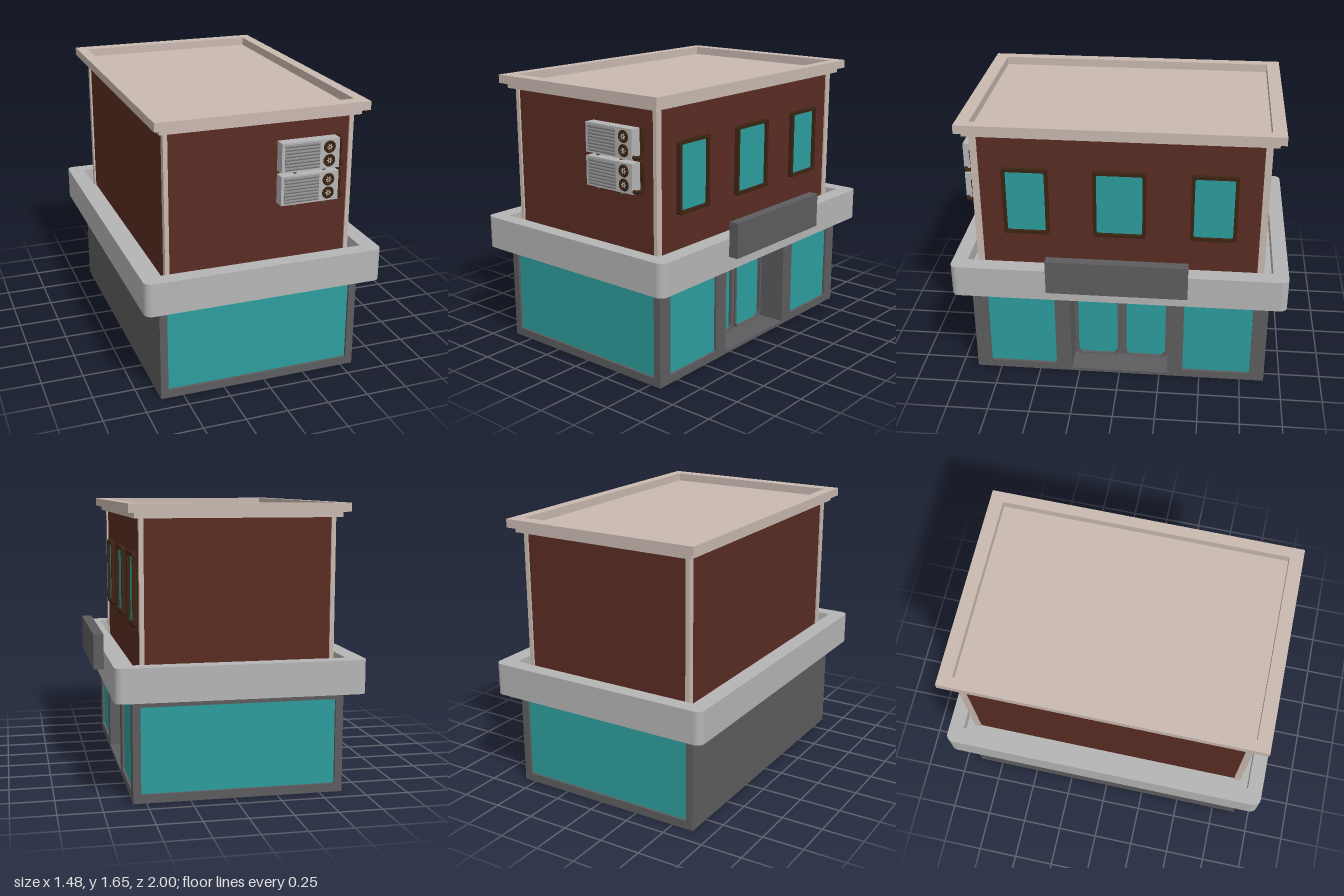
import * as THREE from 'three';

const mat = (name, color, side = THREE.FrontSide) => {
  const m = new THREE.MeshStandardMaterial({ color, side });
  m.name = name;
  return m;
};

// Rectangle outline centred on (cx, cy), optionally with rounded corners
function rect(w, h, r = 0, cx = 0, cy = 0, Type = THREE.Shape) {
  const s = new Type();
  const x = cx - w / 2, y = cy - h / 2;
  if (!r) {
    s.moveTo(x, y); s.lineTo(x + w, y); s.lineTo(x + w, y + h); s.lineTo(x, y + h); s.closePath();
    return s;
  }
  s.moveTo(x + r, y);
  s.lineTo(x + w - r, y); s.absarc(x + w - r, y + r, r, -Math.PI / 2, 0);
  s.lineTo(x + w, y + h - r); s.absarc(x + w - r, y + h - r, r, 0, Math.PI / 2);
  s.lineTo(x + r, y + h); s.absarc(x + r, y + h - r, r, Math.PI / 2, Math.PI);
  s.lineTo(x, y + r); s.absarc(x + r, y + r, r, Math.PI, Math.PI * 1.5);
  return s;
}
const hole = (w, h, r, cx, cy) => rect(w, h, r, cx, cy, THREE.Path);

function slab(shape, holes, depth) {
  shape.holes.push(...holes);
  return new THREE.ExtrudeGeometry(shape, { depth, bevelEnabled: false, curveSegments: 6 });
}

export function createModel() {
  const model = new THREE.Group();
  const house = new THREE.Group();
  house.name = 'building';
  house.position.x = -0.03;
  model.add(house);

  const brick = mat('brick red', 0x5a2c23);
  const stone = mat('pale stone', 0xc9b9b0);
  const concrete = mat('light grey', 0xb5b5b5);
  const frame = mat('dark grey', 0x5d5d5f);
  const glass = mat('teal glass', 0x2d9d9d);
  const wood = mat('dark brown', 0x3c2412);
  const grille = mat('grille grey', 0x8c8c8c);

  const add = (name, geo, material, x = 0, y = 0, z = 0, parent = house) => {
    const m = new THREE.Mesh(geo, material);
    m.name = name;
    m.position.set(x, y, z);
    parent.add(m);
    return m;
  };
  const box = (name, material, w, h, d, x, y, z, parent) =>
    add(name, new THREE.BoxGeometry(w, h, d), material, x, y, z, parent);
  // Horizontal plate drawn in plan, rising from y
  const plan = (name, material, y, h, shape, holes = []) =>
    add(name, slab(shape, holes, h).rotateX(-Math.PI / 2), material, 0, y);
  // Upright plate facing +x, outline drawn as (-z, y)
  const side = (name, material, x, depth, shape, holes = []) =>
    add(name, slab(shape, holes, depth).rotateY(Math.PI / 2), material, x);

  // Shop floor: glazed end walls and plain left wall
  for (const s of [1, -1]) {
    const label = s > 0 ? 'front' : 'back';
    add(label + 'ShopFrame', slab(rect(1.21, 0.59, 0, 0, 0.295), [hole(1.12, 0.495, 0.008, 0, 0.2975)], 0.03),
      frame, 0, 0, s > 0 ? 0.87 : -0.9);
    box(label + 'ShopGlass', glass, 1.13, 0.505, 0.006, 0, 0.2975, s * 0.882);
  }
  box('leftShopWall', frame, 0.03, 0.59, 1.74, -0.59, 0.295, 0);

  // Street side: windows either side of a recessed entrance
  for (const s of [1, -1]) {
    side('shopSideFrame', frame, 0.575, 0.03, rect(0.6, 0.59, 0, s * 0.6, 0.295),
      [hole(0.415, 0.495, 0.008, s * 0.6025, 0.2975)]);
    box('shopSideGlass', glass, 0.006, 0.505, 0.425, 0.587, 0.2975, -s * 0.6025);
    box('entranceSideWall', frame, 0.235, 0.59, 0.03, 0.4725, 0.295, s * 0.315);
  }
  box('entranceFloor', frame, 0.25, 0.02, 0.6, 0.48, 0.01, 0);
  box('entranceCeiling', frame, 0.25, 0.015, 0.6, 0.48, 0.5825, 0);
  const doorHoles = [1, -1].map((s) => hole(0.25, 0.54, 0.04, s * 0.1525, 0.295));
  side('doorFrame', frame, 0.37, 0.06, rect(0.6, 0.588, 0, 0, 0.294), doorHoles);
  for (const s of [1, -1]) {
    side('doorMoulding', frame, 0.425, 0.017, rect(0.278, 0.568, 0.052, s * 0.1525, 0.295),
      [hole(0.25, 0.54, 0.04, s * 0.1525, 0.295)]);
    side('doorGlass', glass, 0.415, 0.006, rect(0.256, 0.546, 0.04, s * 0.1525, 0.295));
  }

  // Canopy: a shallow tray round the upper storey
  plan('canopyBase', concrete, 0.59, 0.11, rect(1.42, 2, 0.045), [hole(1.06, 1.67, 0, 0, 0)]);
  plan('canopyRim', concrete, 0.7, 0.085, rect(1.42, 2, 0.045), [hole(1.22, 1.82, 0, 0, 0)]);
  box('signBoard', frame, 0.06, 0.21, 0.83, 0.74, 0.78, 0);

  // Upper storey
  plan('brickWalls', brick, 0.6, 0.98, rect(1.09, 1.7), [hole(1.03, 1.64, 0, 0, 0)]);
  for (const sx of [1, -1]) for (const sz of [1, -1])
    box('cornerPost', stone, 0.025, 0.98, 0.04, sx * 0.5425, 1.09, sz * 0.84);

  // Upper windows
  for (const [z, w] of [[0.55, 0.27], [0, 0.31], [-0.55, 0.27]]) {
    side('windowFrame', wood, 0.54, 0.03, rect(w, 0.42, 0.015, -z, 1.165),
      [hole(w - 0.04, 0.38, 0.012, -z, 1.165)]);
    side('windowGlass', glass, 0.546, 0.006, rect(w - 0.03, 0.39, 0.012, -z, 1.165));
  }

  // Flat roof with cornice and raised edge
  plan('roofSlab', stone, 1.575, 0.03, rect(1.17, 1.79));
  plan('roofEdge', stone, 1.605, 0.05, rect(1.24, 1.86), [hole(1.11, 1.7, 0, 0, 0)]);

  // Two air conditioners on the front wall
  const slat = new THREE.CylinderGeometry(0.0095, 0.0095, 0.205, 8, 1).rotateZ(Math.PI / 2);
  for (const y of [1.38, 1.19]) {
    const unit = new THREE.Group();
    unit.name = 'airConditioner';
    unit.position.set(0.2675, y, 0.93);
    house.add(unit);
    box('unitCase', concrete, 0.345, 0.17, 0.065, 0, 0, -0.0325, unit);
    box('grillePanel', grille, 0.207, 0.15, 0.004, -0.05, 0, 0, unit);
    for (let i = 0; i < 8; i++)
      add('grilleSlat', slat, grille, -0.05, -0.0655 + i * 0.0187, -0.003, unit);
    // Fans
    for (const s of [1, -1]) {
      const fan = new THREE.Group();
      fan.name = 'fan';
      fan.position.set(0.112, s * 0.039, 0);
      unit.add(fan);
      add('fanRing', new THREE.TorusGeometry(0.029, 0.007, 6, 20), wood, 0, 0, 0, fan);
      add('fanBack', new THREE.CircleGeometry(0.029, 20), wood, 0, 0, 0.001, fan);
      for (let i = 0; i < 6; i++) {
        const a = i * Math.PI / 3;
        const blade = box('fanBlade', concrete, 0.012, 0.006, 0.003,
          Math.cos(a) * 0.011, Math.sin(a) * 0.011, 0.003, fan);
        blade.rotation.z = a;
      }
    }
    // Pipe and wall brackets
    const path = new THREE.CatmullRomCurve3([
      [0.175, 0.068, -0.08], [0.2, 0.075, -0.065], [0.202, 0.06, -0.055], [0.202, -0.05, -0.055],
      [0.2, -0.068, -0.045], [0.195, -0.07, -0.015], [0.172, -0.07, -0.012],
    ].map((p) => new THREE.Vector3(...p)));
    add('pipe', new THREE.TubeGeometry(path, 28, 0.011, 8), wood, 0, 0, 0, unit);
    for (const x of [-0.09, 0.085]) {
      box('bracket', frame, 0.012, 0.01, 0.085, x, -0.09, -0.045, unit);
      box('bracketMount', frame, 0.012, 0.1, 0.02, x, -0.04, -0.073, unit);
    }
  }
  return model;
}
